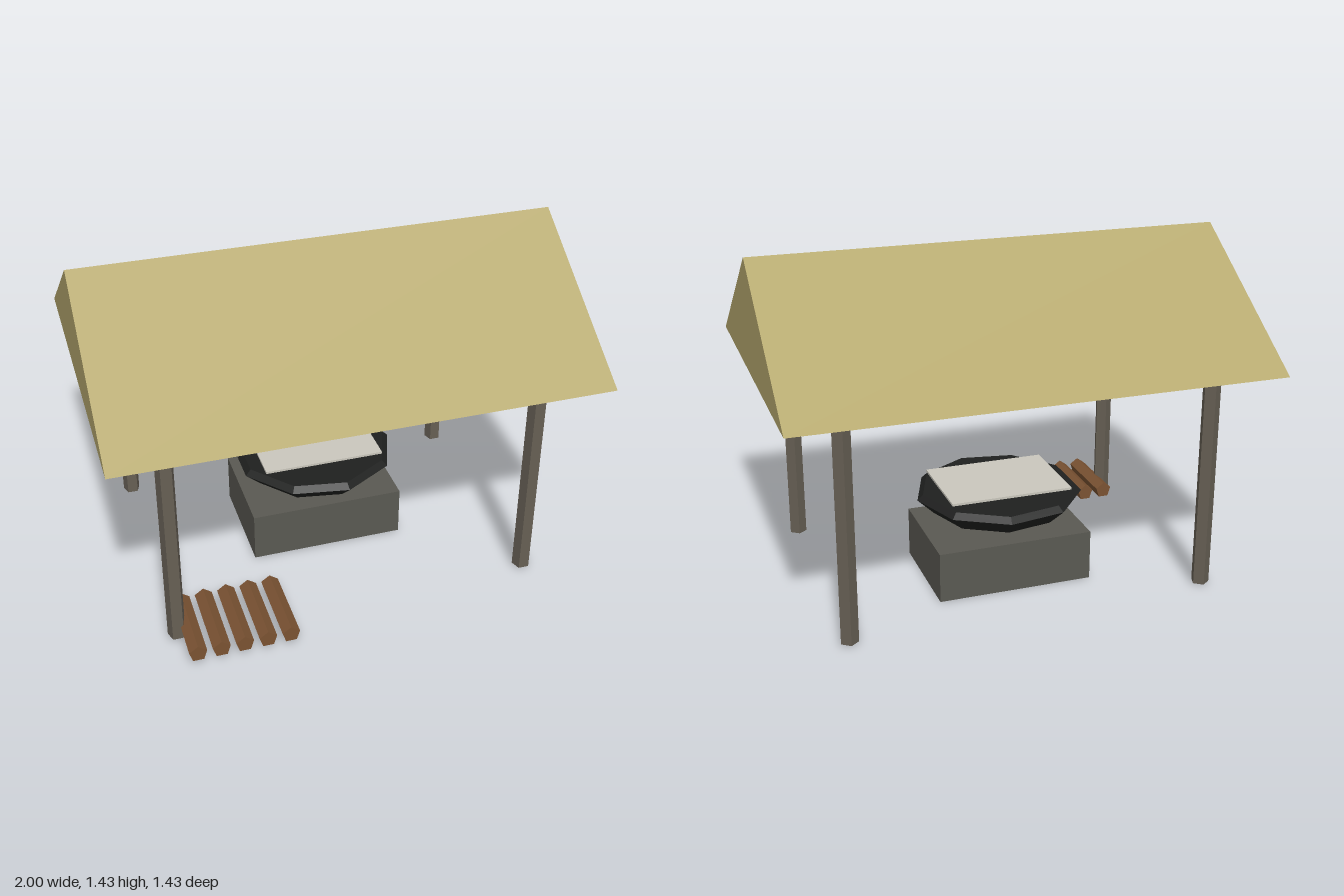
import * as THREE from 'three';

const material = (color) => new THREE.MeshStandardMaterial({ color, flatShading: true });

const thatch = material(0xb5a86e);
const weathered = material(0x665f54);
const stone = material(0x5a5952);
const iron = material(0x1f201f);
const pale = material(0xcac7bd);
const bark = material(0x7a5232);

export function createModel() {
  const group = new THREE.Group();

  const add = (name, geometry, mat, x, y, z) => {
    const mesh = new THREE.Mesh(geometry, mat);
    mesh.name = name;
    mesh.position.set(x, y, z);
    group.add(mesh);
    return mesh;
  };

  // Five-sided pole with one corner pointing to the back
  const pole = (length) => new THREE.CylinderGeometry(0.038, 0.038, length, 5, 1, false, Math.PI);

  // Solid gable roof, ridge running along x
  const gable = new THREE.Shape([
    new THREE.Vector2(-0.714, 0),
    new THREE.Vector2(0.714, 0),
    new THREE.Vector2(0, 0.476),
  ]);
  const roof = new THREE.ExtrudeGeometry(gable, { depth: 2, bevelEnabled: false });
  roof.translate(0, 0, -1).rotateY(Math.PI / 2);
  add('roof', roof, thatch, 0, 0.957, 0);

  // Four corner posts
  for (const x of [-0.762, 0.762]) {
    for (const z of [-0.524, 0.524]) {
      add('post', pole(0.952), weathered, x, 0.481, z);
    }
  }

  // Stone hearth block
  add('hearth', new THREE.BoxGeometry(0.667, 0.216, 0.476), stone, 0, 0.108, -0.095);

  // Nine-sided pan with a pointed bottom and chamfered rim
  const profile = [[0, 0], [0.286, 0.075], [0.357, 0.143], [0.332, 0.167], [0, 0.167]]
    .map(([r, y]) => new THREE.Vector2(r, y));
  add('pan', new THREE.LatheGeometry(profile, 9, Math.PI / 2), iron, 0, 0.218, -0.095);

  // Thin sheet over the pan
  add('sheet', new THREE.BoxGeometry(0.524, 0.01, 0.381), pale, 0, 0.407, -0.095);

  // Row of firewood
  for (let i = 0; i < 5; i++) {
    const log = add('log', pole(0.333), bark, -0.714 + i * 0.0952, 0.052, 0.548);
    log.rotation.x = Math.PI / 2;
  }

  return group;
}
